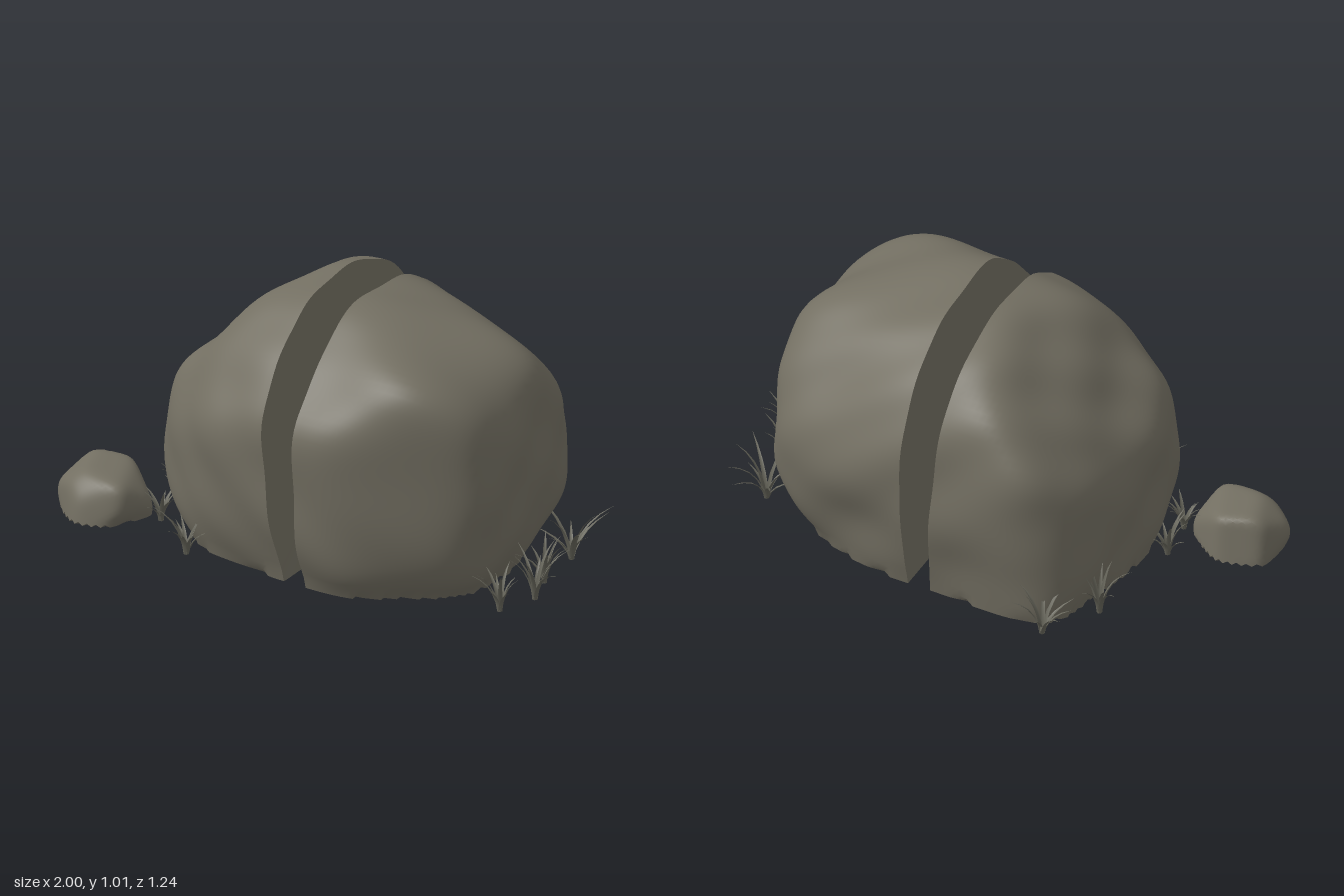
import * as THREE from 'three';
import { toCreasedNormals, mergeVertices } from 'three/addons/utils/BufferGeometryUtils.js';

const V = (x, y, z) => new THREE.Vector3(x, y, z);

// small seeded random
function seeded(s) {
  return () => {
    s = (s * 16807) % 2147483647;
    return s / 2147483647;
  };
}

// distance to a rounded rock made of planes [nx, ny, nz, distance]
function rockRadius(d, planes, power) {
  let sum = 0;
  for (const [x, y, z, h] of planes) {
    const k = (d.x * x + d.y * y + d.z * z) / (Math.hypot(x, y, z) * h);
    if (k > 0) sum += Math.pow(k, power);
  }
  return Math.pow(sum, -1 / power);
}

function bumps(p) {
  return 0.01 * Math.sin(9 * p.x + 5 * p.y + 1) * Math.sin(8 * p.z - 6 * p.y)
    + 0.007 * Math.sin(17 * p.y + 6 * p.x) * Math.sin(15 * p.z + 9 * p.x + 2);
}

// pull a point below the ground back along its ray from the centre
function groundClamp(p, c, snap) {
  if (p.y < 0) p.lerpVectors(c, p.clone(), c.y / (c.y - p.y));
  if (p.y < snap) p.y = 0;
  return p;
}

function buildGeometry(pos, idx) {
  const g = new THREE.BufferGeometry();
  g.setAttribute('position', new THREE.Float32BufferAttribute(pos, 3));
  g.setIndex(idx);
  return g;
}

// rock shell, left open where it rests on the ground
function openShell(pos, idx) {
  const kept = [];
  for (let i = 0; i < idx.length; i += 3) {
    const tri = [idx[i], idx[i + 1], idx[i + 2]];
    if (tri.some((n) => pos[n * 3 + 1] > 0)) kept.push(...tri);
  }
  return toCreasedNormals(buildGeometry(pos, kept), 0.6);
}

// half a boulder: a dome over a flat split face, facing along axis
function halfBoulder(c, axis, planes) {
  const rings = 40, seg = 128, pos = [], idx = [];
  axis.normalize();
  const u = V(0, 0, 1).addScaledVector(axis, -axis.z).normalize();
  const v = axis.clone().cross(u);
  for (let i = 0; i <= rings; i++) {
    const t = (i / rings) * Math.PI / 2;
    for (let j = 0; j < seg; j++) {
      const f = (j / seg) * Math.PI * 2;
      const d = V(0, 0, 0).addScaledVector(u, Math.cos(t) * Math.cos(f))
        .addScaledVector(v, Math.cos(t) * Math.sin(f)).addScaledVector(axis, Math.sin(t));
      const p = d.clone().multiplyScalar(rockRadius(d, planes, 14) * 1.04).add(c);
      p.addScaledVector(d, bumps(p));
      pos.push(...groundClamp(p, c, 0.02).toArray());
      if (i < rings) {
        const a = i * seg + j, b = i * seg + (j + 1) % seg;
        idx.push(a, b, a + seg);
        if (i < rings - 1) idx.push(b, b + seg, a + seg);
      }
    }
  }
  // split face
  const mid = pos.length / 3;
  pos.push(c.x, c.y, c.z);
  for (let j = 0; j < seg; j++) idx.push(mid, (j + 1) % seg, j);
  return openShell(pos, idx);
}

// small loose stone
function stone(c, planes) {
  let g = new THREE.IcosahedronGeometry(1, 10);
  g.deleteAttribute('normal');
  g.deleteAttribute('uv');
  g = mergeVertices(g);
  const a = g.attributes.position, pos = [];
  for (let i = 0; i < a.count; i++) {
    const d = V().fromBufferAttribute(a, i).normalize();
    const p = d.clone().multiplyScalar(rockRadius(d, planes, 11) * 1.04).add(c);
    pos.push(...groundClamp(p, c, c.y * 0.1).toArray());
  }
  return openShell(pos, Array.from(g.index.array));
}

// tuft of folded, outward-curving blades
function grassTuft(reach, height, rand) {
  const pos = [], idx = [], blades = 10, steps = 5;
  for (let b = 0; b < blades; b++) {
    const ang = (b + 0.8 * rand()) / blades * Math.PI * 2;
    const out = V(Math.cos(ang), 0, Math.sin(ang)), side = V(-out.z, 0, out.x);
    const len = reach * (0.45 + 0.55 * rand()), h = height * (0.45 + 0.55 * rand());
    const base = pos.length / 3;
    for (let i = 0; i <= steps; i++) {
      const t = i / steps, w = 0.009 * (1 - t * t) + 0.0004;
      const p = out.clone().multiplyScalar(0.004 + len * (0.15 * t + 0.85 * t * t));
      p.y = h * (1.25 * t - 0.25 * t * t * t);
      for (const k of [-1, 0, 1]) {
        const q = p.clone().addScaledVector(side, k * w);
        if (k === 0) q.addScaledVector(out, w * 0.6);
        pos.push(q.x, q.y, q.z);
      }
      if (i < steps) {
        const n = base + i * 3;
        for (const e of [n, n + 1]) idx.push(e, e + 3, e + 1, e + 1, e + 3, e + 4);
      }
    }
  }
  const g = buildGeometry(pos, idx);
  g.computeVertexNormals();
  return g;
}

export function createModel() {
  const model = new THREE.Group();
  const stoneMat = new THREE.MeshStandardMaterial({ color: 0x736f62, side: THREE.DoubleSide });
  stoneMat.name = 'stone';
  const grassMat = new THREE.MeshStandardMaterial({ color: 0x66655a, side: THREE.DoubleSide });
  grassMat.name = 'grass';
  const add = (name, geo, mat) => {
    const m = new THREE.Mesh(geo, mat);
    m.name = name;
    model.add(m);
    return m;
  };

  // round outline shared by both halves
  const outline = [
    [0, 0, 1, 0.57], [0, 0.72, 0.7, 0.565], [0, 1, 0.1, 0.6], [0, 0.9, -0.44, 0.6],
    [0, 0.42, -0.9, 0.6], [0, -0.27, -0.96, 0.57], [0, -0.17, 0.98, 0.555], [0, -0.5, 0.86, 0.6],
  ];
  add('rightBoulderHalf', halfBoulder(V(-0.052, 0.4, 0), V(-1, -0.08, 0.18), [
    ...outline,
    [-1, -0.05, 0, 0.6], [-0.74, 0.67, 0, 0.515], [-0.7, 0, -0.7, 0.685],
    [-0.13, 0, -0.99, 0.575], [-0.42, 0, 0.91, 0.595], [-0.96, 0, 0.28, 0.63],
    [-0.6, -0.8, 0, 0.68], [-0.5, -0.6, 0.5, 0.65], [-0.4, 0.4, 0.7, 0.595],
  ]), stoneMat);
  add('leftBoulderHalf', halfBoulder(V(0.075, 0.4, 0), V(1, 0, -0.184), [
    ...outline,
    [0.32, 0.95, 0, 0.588], [0.78, 0.62, 0, 0.695], [1, -0.1, 0, 0.69], [0.965, 0, -0.26, 0.645],
    [0.6, 0, 0.8, 0.57], [0, 0, -1, 0.61], [0.6, 0, -0.8, 0.705], [0.6, -0.8, 0, 0.675],
    [0.25, 0.61, -0.75, 0.595], [0.6, -0.6, -0.4, 0.66], [0.5, -0.7, 0.5, 0.62],
  ]), stoneMat);

  // loose stones
  const loose = (s) => [
    [1, 0.1, 0.1, 0.165], [-1, 0.1, -0.1, 0.165], [0.1, 1, 0, 0.1], [-0.5, 0.8, 0.3, 0.125],
    [0.6, 0.7, -0.3, 0.125], [0, 0.7, 0.7, 0.13], [0.4, 0.2, 1, 0.145], [-0.5, 0.1, 0.9, 0.145],
    [0.5, 0.1, -0.9, 0.14], [-0.4, 0.2, -1, 0.145], [0.7, -0.6, 0.2, 0.15],
    [-0.7, -0.6, 0.2, 0.16], [0, -1, 0, 0.1],
  ].map(([x, y, z, h]) => [x, y, z, h * s]);
  add('smallStone', stone(V(-0.835, 0.07, 0.42), loose(1)), stoneMat);
  add('gapPebble1', stone(V(0.01, 0.025, -0.09), loose(0.35)), stoneMat);
  add('gapPebble2', stone(V(0.045, 0.02, -0.04), loose(0.28)), stoneMat);

  // grass tufts: x, z, reach, height
  const rand = seeded(41);
  const tufts = [
    [-0.6, -0.49, 0.15, 0.18], [-0.69, -0.26, 0.13, 0.24], [-0.67, 0.19, 0.1, 0.17],
    [-0.62, 0.36, 0.1, 0.16], [-0.36, 0.52, 0.13, 0.2], [-0.01, -0.29, 0.08, 0.14],
    [0.02, -0.05, 0.08, 0.14], [0.07, 0.21, 0.08, 0.14], [0.72, -0.36, 0.18, 0.21],
    [0.78, -0.14, 0.11, 0.18], [0.85, -0.01, 0.15, 0.21], [0.82, 0.15, 0.11, 0.18],
  ];
  tufts.forEach(([x, z, reach, h], i) => {
    add('grassTuft' + (i + 1), grassTuft(reach, h, rand), grassMat).position.set(x, 0, z);
  });
  return model;
}
